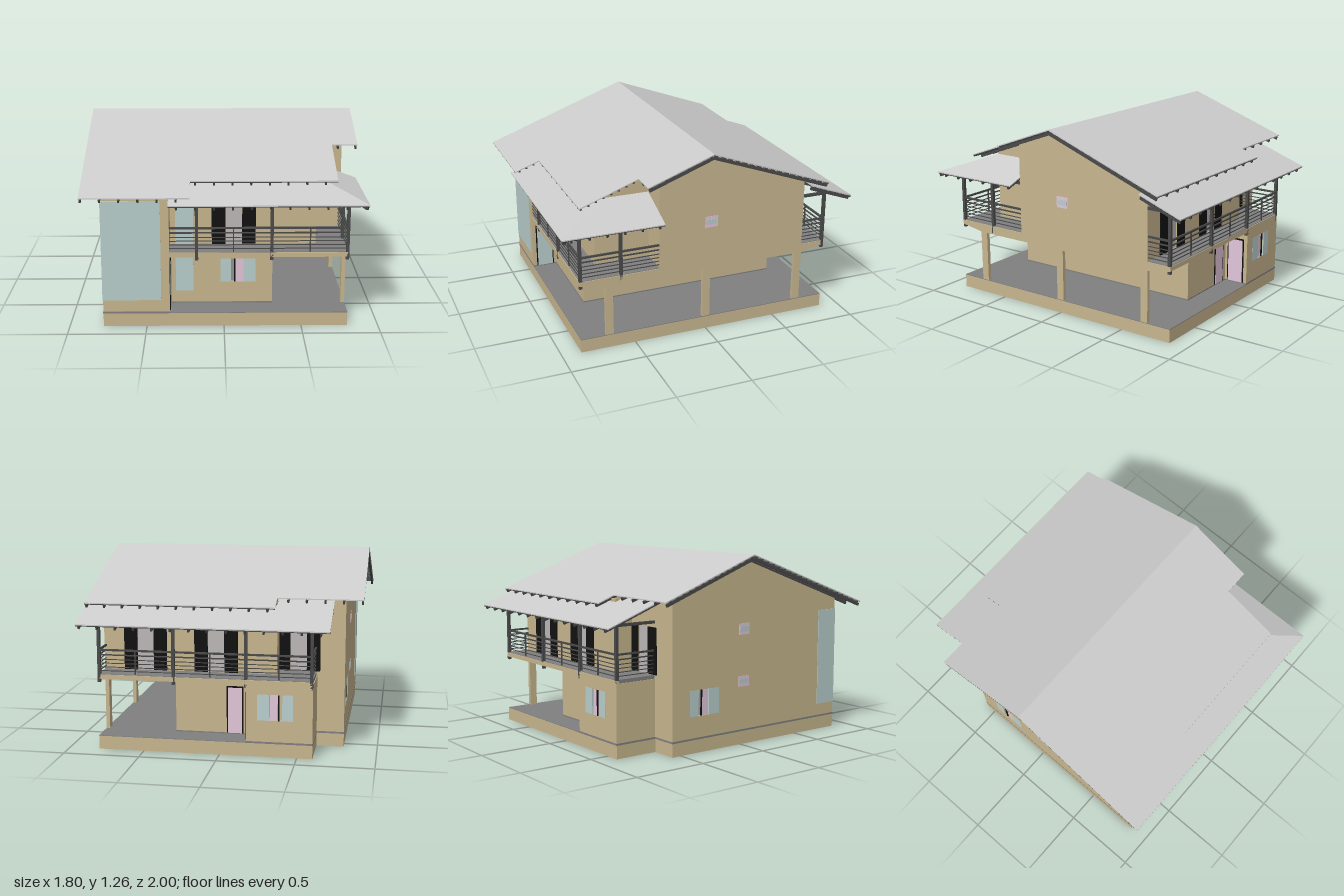
import * as THREE from 'three';

const mat = (color) => new THREE.MeshStandardMaterial({ color });
const wallMat = mat(0xc8b78f), roofMat = mat(0xcccccc), floorMat = mat(0x808080), timber = mat(0x4a4a4a);
const glass = mat(0xb9cfcd), black = mat(0x111111), pink = mat(0xe2c6da), pale = mat(0xbdb8b8);

const SLOPE = 0.365;
const mainY = (x, z) => 1.265 - SLOPE * Math.abs(z);
const lowBackY = (x, z) => 0.85 + SLOPE * (1 + z);
const lowFrontY = (x, z) => 0.85 + SLOPE * (1 - z);
const lowSideY = (x) => 0.85 + SLOPE * (0.9 - x);

export function createModel() {
  const root = new THREE.Group();
  const group = (name) => {
    const g = new THREE.Group();
    g.name = name;
    root.add(g);
    return g;
  };
  const add = (g, name, geo, m) => {
    const mesh = new THREE.Mesh(geo, m);
    mesh.name = name;
    g.add(mesh);
    return mesh;
  };
  const box = (g, name, m, x0, x1, y0, y1, z0, z1) =>
    add(g, name, new THREE.BoxGeometry(x1 - x0, y1 - y0, z1 - z0), m)
      .position.set((x0 + x1) / 2, (y0 + y1) / 2, (z0 + z1) / 2);
  // square bar between two points
  const bar = (g, name, a, b, w, h = w, m = timber) => {
    const p = new THREE.Vector3(...a), q = new THREE.Vector3(...b);
    const mesh = add(g, name, new THREE.BoxGeometry(w, h, p.distanceTo(q)), m);
    mesh.position.copy(p).lerp(q, 0.5);
    mesh.lookAt(q);
  };
  // horizontal plate from an x,z outline, sheared so its top follows topY(x, z)
  const plate = (g, name, m, pts, thick, topY) => {
    const shape = new THREE.Shape(pts.map(([x, z]) => new THREE.Vector2(x, -z)));
    const geo = new THREE.ExtrudeGeometry(shape, { depth: thick, bevelEnabled: false });
    geo.rotateX(-Math.PI / 2);
    const p = geo.attributes.position;
    for (let i = 0; i < p.count; i++) p.setY(i, p.getY(i) - thick + topY(p.getX(i), p.getZ(i)));
    geo.computeVertexNormals();
    add(g, name, geo, m);
  };

  // walls: axis and sign give the outward direction, pos the outer face
  const T = 0.02;
  const walls = group('walls'), openings = group('windowsAndDoors');
  const wall = (name, axis, sign, pos, pts, holes = []) => {
    const shape = new THREE.Shape(pts.map(([u, v]) => new THREE.Vector2(u, v)));
    for (const [a, b, c, d] of holes)
      shape.holes.push(new THREE.Path([[a, c], [a, d], [b, d], [b, c]].map((q) => new THREE.Vector2(...q))));
    const geo = new THREE.ExtrudeGeometry(shape, { depth: T, bevelEnabled: false });
    if (axis === 'x') geo.rotateY(-Math.PI / 2).translate(sign > 0 ? pos : pos + T, 0, 0);
    else geo.translate(0, 0, sign > 0 ? pos - T : pos);
    add(walls, name, geo, wallMat);
  };
  const rect = (a, b, c, d) => [[a, c], [b, c], [b, d], [a, d]];
  const pane = (name, m, axis, pos, [a, b, c, d], t = 0.008) => axis === 'x'
    ? box(openings, name, m, pos - t / 2, pos + t / 2, c, d, a, b)
    : box(openings, name, m, a, b, c, d, pos - t / 2, pos + t / 2);
  // sliding window: glass at both sides, half-open middle
  const slider = (axis, sign, pos, [a, b, c, d]) => {
    const w = b - a, p = pos - sign * 0.003;
    pane('windowPane', glass, axis, p, [a, a + w * 0.3, c, d]);
    pane('windowPane', glass, axis, p, [b - w * 0.35, b, c, d]);
    pane('windowCurtain', pink, axis, p - sign * 0.01, [a + w * 0.43, b - w * 0.35, c, d]);
    pane('windowFrame', black, axis, p, [a + w * 0.38, a + w * 0.42, c, d]);
  };
  // balcony door: two black leaves beside a pale opening
  const balconyDoor = (sign, pos, x) => {
    for (const s of [-1, 1]) pane('doorLeaf', black, 'z', pos + sign * 0.003, [x + s * 0.099 - 0.044, x + s * 0.099 + 0.044, 0.505, 0.81]);
    pane('doorCurtain', pale, 'z', pos - sign * 0.012, [x - 0.055, x + 0.055, 0.505, 0.81]);
  };
  const framedDoor = (axis, pos, [a, b, c, d], m) => {
    pane('doorFrame', black, axis, pos, [a, b, c, d], 0.01);
    pane('door', m, axis, pos, [a + 0.008, b - 0.008, c, d - 0.01], 0.014);
  };
  const top = (z) => mainY(0, z) - 0.03;
  const doorHole = (x) => [x - 0.055, x + 0.055, 0.505, 0.81];

  // ground floor walls
  const frontWin = [-0.02, 0.21, 0.24, 0.4], sideWin = [-0.115, 0.115, 0.24, 0.4];
  const backWin = [-0.475, -0.245, 0.24, 0.41], rightWin = [-0.43, -0.19, 0.24, 0.41];
  wall('frontBlockWall', 'z', 1, 0.87, rect(-0.78, -0.35, 0.09, top(0.87)));
  wall('entranceWall', 'x', 1, -0.35, [[0.6, 0.09], [0.87, 0.09], [0.87, top(0.87)], [0.6, top(0.6)]]);
  wall('porchWall', 'z', 1, 0.7, rect(-0.35, 0.32, 0.09, 0.47), [frontWin]);
  wall('carportWall', 'x', 1, 0.32, rect(-0.7, 0.7, 0.09, 0.47), [sideWin]);
  wall('backPorchWall', 'z', -1, -0.7, rect(-0.17, 0.32, 0.09, 0.47));
  wall('backDoorWall', 'x', 1, -0.17, rect(-0.87, -0.68, 0.09, 0.47));
  wall('backBlockWall', 'z', -1, -0.87, rect(-0.6, -0.17, 0.09, 0.48), [backWin]);
  wall('backBlockSideWall', 'x', -1, -0.6, rect(-0.87, -0.57, 0.09, 0.48));
  // gable walls
  const smallR = [-0.075, 0.015, 0.735, 0.81], smallL = [-0.02, 0.07, 0.735, 0.81], smallLow = [-0.02, 0.07, 0.39, 0.46];
  wall('leftGable', 'x', 1, 0.8, [[-0.7, 0.44], [0.33, 0.44], [0.33, top(0.33)], [0, top(0)], [-0.7, top(0.7)]], [smallR]);
  wall('rightGable', 'x', -1, -0.78, [[-0.57, 0.09], [0.87, 0.09], [0.87, top(0.87)], [0, top(0)], [-0.57, top(0.57)]],
    [rightWin, smallL, smallLow]);
  // upper floor walls
  wall('upperFrontWall', 'z', 1, 0.7, rect(-0.35, 0.6, 0.47, top(0.7)), [doorHole(0.065)]);
  wall('upperSideWall', 'x', 1, 0.6, [[0.31, 0.47], [0.7, 0.47], [0.7, top(0.7)], [0.31, top(0.31)]]);
  wall('upperReturnWall', 'z', 1, 0.33, rect(0.6, 0.8, 0.47, top(0.33)));
  wall('upperBackWall', 'z', -1, -0.7, rect(-0.35, 0.8, 0.47, top(0.7)), [doorHole(0.52), doorHole(0.05)]);
  wall('upperBackReturn', 'x', -1, -0.35, rect(-0.7, -0.55, 0.47, top(0.7)));
  wall('rearRecessWall', 'z', -1, -0.57, rect(-0.78, -0.35, 0.09, top(0.57)), [doorHole(-0.475)]);

  // windows and doors
  slider('z', 1, 0.7, frontWin);
  slider('x', 1, 0.32, sideWin);
  slider('z', -1, -0.87, backWin);
  slider('x', -1, -0.78, rightWin);
  for (const [p, h] of [[0.798, smallR], [-0.778, smallL], [-0.778, smallLow]]) {
    pane('smallWindowFrame', pink, 'x', p, h);
    pane('smallWindowGlass', glass, 'x', p, [h[0] + 0.01, h[1] - 0.01, h[2] + 0.02, h[3] - 0.02], 0.012);
  }
  pane('cornerGlassFront', glass, 'z', 0.87, [-0.782, -0.405, 0.18, 0.845]);
  pane('cornerGlassSide', glass, 'x', -0.78, [0.71, 0.872, 0.18, 0.845]);
  pane('tallGlass', glass, 'z', 0.7, [-0.315, -0.2, 0.18, 0.44]);
  pane('tallGlass', glass, 'z', 0.7, [-0.315, -0.2, 0.505, 0.845]);
  balconyDoor(1, 0.7, 0.065);
  balconyDoor(-1, -0.7, 0.52);
  balconyDoor(-1, -0.7, 0.05);
  balconyDoor(-1, -0.57, -0.475);
  framedDoor('x', -0.35, [0.72, 0.845, 0.1, 0.415], glass);
  framedDoor('x', -0.17, [-0.845, -0.72, 0.1, 0.415], pink);
  framedDoor('z', -0.7, [-0.13, -0.02, 0.1, 0.415], pink);

  // foundation and floors
  const slabs = group('foundationAndFloors');
  const foot = [[-0.78, 0.87], [0.8, 0.87], [0.8, -0.87], [-0.6, -0.87], [-0.6, -0.57], [-0.78, -0.57]];
  plate(slabs, 'foundation', wallMat, foot, 0.088, () => 0.088);
  plate(slabs, 'groundFloor', floorMat, foot, 0.004, () => 0.092);
  plate(slabs, 'plinthStrip', floorMat, [[-0.782, 0.872], [-0.348, 0.872], [-0.348, 0.702], [0.322, 0.702], [0.322, -0.702],
    [-0.168, -0.702], [-0.168, -0.872], [-0.602, -0.872], [-0.602, -0.572], [-0.782, -0.572]], 0.012, () => 0.1);
  plate(slabs, 'upperFloor', floorMat, [[-0.77, 0.68], [-0.36, 0.68], [-0.36, 0.865], [0.795, 0.865], [0.795, -0.865],
    [-0.595, -0.865], [-0.595, -0.56], [-0.77, -0.56]], 0.025, () => 0.504);

  // carport columns, beams and tapered balcony brackets
  const frame = group('carportFrame');
  for (const z of [-0.675, 0, 0.675]) {
    box(frame, 'column', wallMat, 0.775, 0.8, 0.09, 0.45, z - 0.026, z + 0.026);
    box(frame, 'crossBeam', wallMat, 0.31, 0.79, 0.44, 0.49, z - 0.02, z + 0.02);
  }
  box(frame, 'edgeBeam', wallMat, 0.775, 0.8, 0.44, 0.5, -0.7, 0.7);
  box(frame, 'frontEdgeBeam', wallMat, -0.35, 0.8, 0.47, 0.5, 0.85, 0.87);
  box(frame, 'backEdgeBeam', wallMat, -0.6, 0.8, 0.47, 0.5, -0.87, -0.85);
  for (const s of [1, -1]) for (const x of [-0.165, 0.32, 0.8])
    wall('balconyBracket', 'x', 1, x, [[s * 0.69, 0.44], [s * 0.87, 0.47], [s * 0.87, 0.5], [s * 0.69, 0.5]]);

  // balcony railings and posts
  const balcony = group('balconies');
  const runs = [[[-0.35, 0.86], [0.79, 0.86]], [[0.79, 0.86], [0.79, 0.33]], [[0.79, -0.7], [0.79, -0.86]],
    [[0.79, -0.86], [-0.59, -0.86]], [[-0.59, -0.86], [-0.59, -0.57]]];
  for (const [[x0, z0], [x1, z1]] of runs) {
    for (const y of [0.525, 0.55, 0.575, 0.6]) bar(balcony, 'railWire', [x0, y, z0], [x1, y, z1], 0.005);
    bar(balcony, 'handrail', [x0, 0.662, z0], [x1, 0.662, z1], 0.012);
    bar(balcony, 'midRail', [x0, 0.63, z0], [x1, 0.63, z1], 0.008);
    bar(balcony, 'eavePlate', [x0, 0.845, z0], [x1, 0.845, z1], 0.018);
  }
  for (const [x, z] of [[-0.175, 0.86], [0.305, 0.86], [0.79, 0.86], [0.79, 0.59], [0.79, -0.86], [0.3, -0.86], [-0.17, -0.86], [-0.59, -0.86]])
    box(balcony, 'roofPost', timber, x - 0.01, x + 0.01, 0.45, 0.86, z - 0.01, z + 0.01);
  for (const [x, z] of [[0.06, 0.86], [0.55, 0.86], [0.55, -0.86], [0.06, -0.86], [-0.38, -0.86]])
    box(balcony, 'railPost', timber, x - 0.004, x + 0.004, 0.5, 0.66, z - 0.004, z + 0.004);

  // roof sheets
  const roof = group('roof');
  plate(roof, 'mainRoofFront', roofMat, [[-0.9, 0], [-0.9, 1], [-0.215, 1], [-0.215, 0.83], [0.72, 0.83], [0.72, 0.44], [0.89, 0.44], [0.89, 0]], 0.007, mainY);
  plate(roof, 'mainRoofBack', roofMat, [[-0.9, 0], [-0.9, -0.71], [-0.35, -0.71], [-0.35, -0.83], [0.89, -0.83], [0.89, 0]], 0.007, mainY);
  plate(roof, 'lowerRoofBack', roofMat, [[-0.71, -1], [-0.71, -0.57], [-0.35, -0.57], [-0.35, -0.7], [0.9, -0.7], [0.9, -1]], 0.007, lowBackY);
  plate(roof, 'lowerRoofFront', roofMat, [[-0.35, 1], [0.9, 1], [0.6, 0.7], [-0.35, 0.7]], 0.007, lowFrontY);
  plate(roof, 'lowerRoofSide', roofMat, [[0.9, 1], [0.9, 0.33], [0.6, 0.33], [0.6, 0.7]], 0.007, lowSideY);

  // rafters and battens below the sheets
  const under = group('roofTimbers');
  const member = (name, f, drop, w, h, x0, z0, x1, z1) =>
    bar(under, name, [x0, f(x0, z0) - drop, z0], [x1, f(x1, z1) - drop, z1], w, h);
  const rafter = (f, ...ends) => member('rafter', f, 0.027, 0.012, 0.02, ...ends);
  const batten = (f, ...ends) => member('batten', f, 0.012, 0.012, 0.01, ...ends);
  for (let i = 0; i < 16; i++) {
    const x = -0.89 + i * 0.118;
    rafter(mainY, x, 0, x, x < -0.215 ? 0.99 : x < 0.72 ? 0.82 : 0.43);
    rafter(mainY, x, 0, x, x < -0.35 ? -0.7 : -0.82);
    if (x > -0.71) rafter(lowBackY, x, x < -0.35 ? -0.57 : -0.7, x, -0.99);
    if (x > -0.35) rafter(lowFrontY, x, 0.7 + Math.max(0, x - 0.6), x, 0.99);
  }
  for (let z = 0.36; z < 0.98; z += 0.115) rafter(lowSideY, 0.6 + Math.max(0, z - 0.7), z, 0.89, z);
  for (let z = 0.02; z < 1; z += 0.05) {
    batten(mainY, -0.9, z, z < 0.44 ? 0.89 : z < 0.83 ? 0.72 : -0.215, z);
    if (z < 0.83) batten(mainY, z < 0.71 ? -0.9 : -0.35, -z, 0.89, -z);
  }
  for (let d = 0.01; d < 0.29; d += 0.045) {
    batten(lowBackY, -0.71, -1 + d, 0.9, -1 + d);
    batten(lowFrontY, -0.35, 1 - d, 0.9 - d, 1 - d);
    batten(lowSideY, 0.9 - d, 0.33, 0.9 - d, 1 - d);
  }
  member('hipRafter', lowFrontY, 0.027, 0.014, 0.022, 0.6, 0.7, 0.89, 0.99);
  return root;
}
